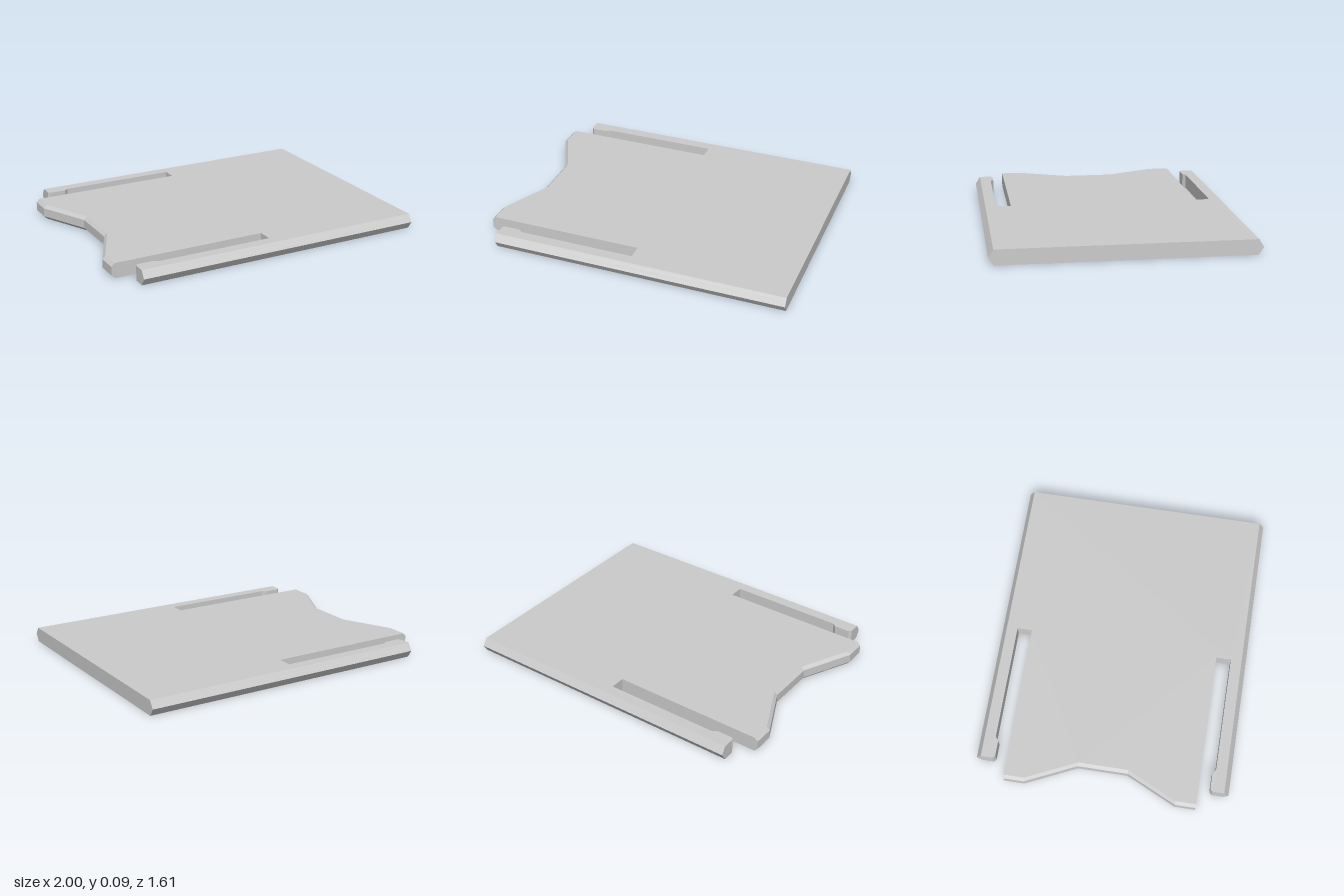
import * as THREE from 'three';

const HEIGHT = 0.095, MID = HEIGHT / 2, CHAMFER = 0.02;

// Plan outline (x, z) at height y: V-shaped side rails, chamfered notch edge
function outlineAt(y) {
  const w = 0.805 - 0.03 * Math.abs(y - MID) / MID;
  const e = Math.max(0, CHAMFER - Math.min(y, HEIGHT - y));
  const half = [
    [1, w], [-0.885, w],                                          // outer rail
    [-0.885, 0.7], [-0.87, 0.685], [-0.77, 0.685], [-0.745, 0.705], // latch hook
    [0, 0.705], [0, 0.61],                                        // slot
    [-1 + e, 0.61], [-1 + e, 0.48], [-0.85 + e, 0.16],            // notched edge
  ];
  const mirrored = half.map(([x, z]) => [x, -z]).reverse();
  return [...half, ...mirrored].map(([x, z]) => new THREE.Vector2(x, z));
}

function slabGeometry(levels) {
  const rings = levels.map(outlineAt);
  const n = rings[0].length;
  const positions = [];
  const index = [];
  rings.forEach((ring, k) => ring.forEach((p) => positions.push(p.x, levels[k], p.y)));

  // Walls between neighbouring rings
  for (let k = 0; k < rings.length - 1; k++) {
    for (let i = 0; i < n; i++) {
      const a = k * n + i, b = k * n + (i + 1) % n;
      index.push(b, a, a + n, b, a + n, b + n);
    }
  }

  // Top and bottom caps
  const addCap = (k, up) => {
    const ring = rings[k];
    for (const [a, b, c] of THREE.ShapeUtils.triangulateShape(ring, [])) {
      const u = ring[b].clone().sub(ring[a]), v = ring[c].clone().sub(ring[a]);
      const facesUp = u.y * v.x - u.x * v.y > 0;
      const o = k * n;
      if (facesUp === up) index.push(o + a, o + b, o + c);
      else index.push(o + a, o + c, o + b);
    }
  };
  addCap(0, false);
  addCap(rings.length - 1, true);

  const indexed = new THREE.BufferGeometry();
  indexed.setAttribute('position', new THREE.Float32BufferAttribute(positions, 3));
  indexed.setIndex(index);
  const flat = indexed.toNonIndexed();
  flat.computeVertexNormals();
  return flat;
}

export function createModel() {
  const group = new THREE.Group();
  group.name = 'slidingPlate';
  const material = new THREE.MeshStandardMaterial({ color: 0xcccccc, flatShading: true });
  const plate = new THREE.Mesh(
    slabGeometry([0, CHAMFER, MID, HEIGHT - CHAMFER, HEIGHT]), material);
  plate.name = 'plateWithLatchArms';
  group.add(plate);
  return group;
}
